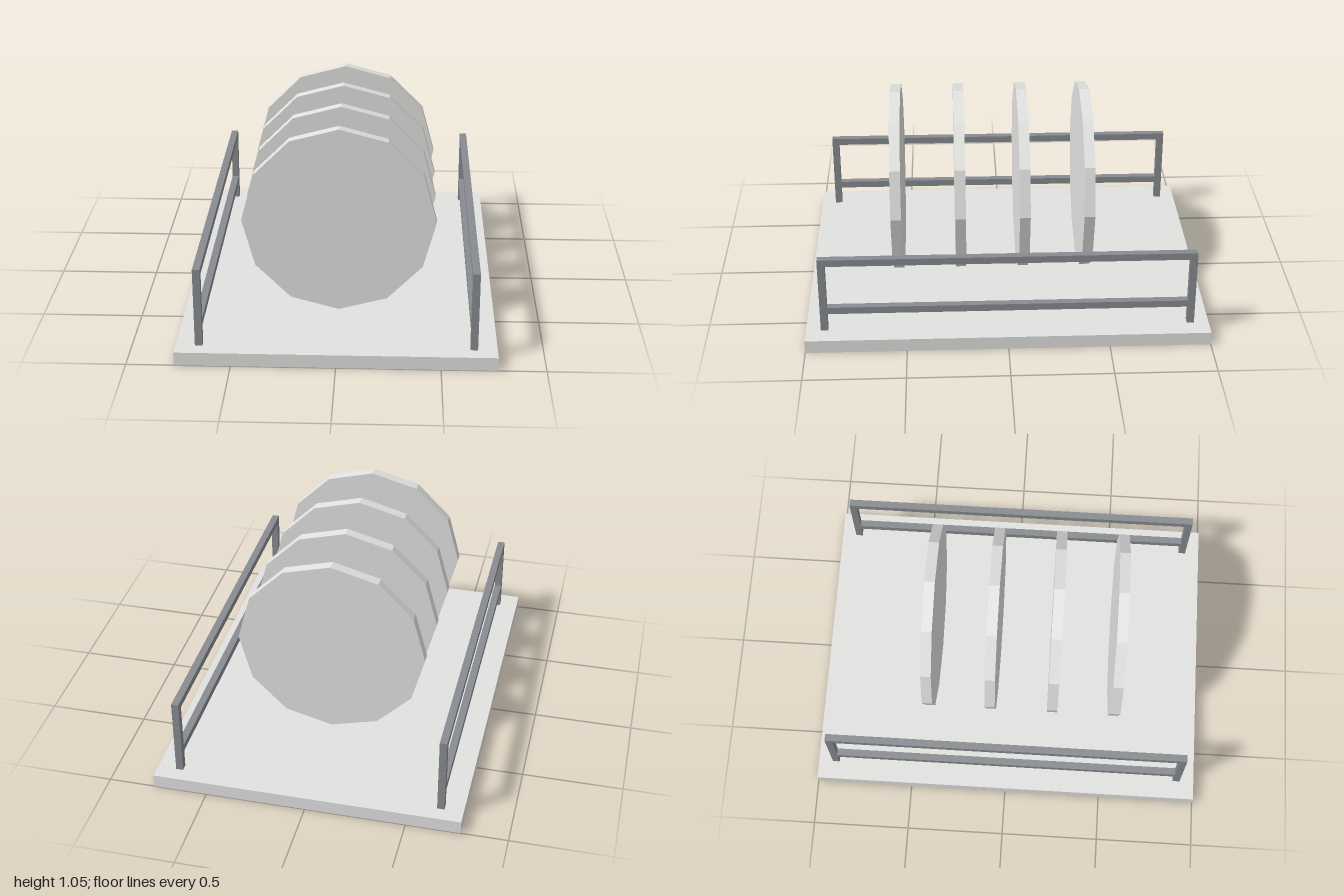
import * as THREE from 'three';

export function createModel() {
  const model = new THREE.Group();
  model.name = 'discRack';

  const paleGrey = new THREE.MeshStandardMaterial({ color: 0xe1e1e0 });
  paleGrey.name = 'paleGrey';
  const steelGrey = new THREE.MeshStandardMaterial({ color: 0x888c90 });
  steelGrey.name = 'steelGrey';

  const box = (name, parent, material, size, position) => {
    const mesh = new THREE.Mesh(new THREE.BoxGeometry(...size), material);
    mesh.name = name;
    mesh.position.set(...position);
    parent.add(mesh);
  };

  // Base slab
  const baseTop = 0.068;
  box('base', model, paleGrey, [1.54, baseTop, 2], [0, baseTop / 2, 0]);

  // Row of upright twelve-sided discs, one corner pointing up
  const discGeometry = new THREE.CylinderGeometry(0.476, 0.476, 0.053, 12).toNonIndexed();
  discGeometry.rotateX(Math.PI / 2);
  discGeometry.computeVertexNormals();
  for (let i = 0; i < 4; i++) {
    const disc = new THREE.Mesh(discGeometry, paleGrey);
    disc.name = `disc${i + 1}`;
    disc.position.set(0, 0.57, 0.545 - i * 0.319);
    model.add(disc);
  }

  // Side railings: two posts joined by a top and a lower rail
  const bar = 0.036;
  const railTop = 0.469;
  const postZ = 0.926 - bar / 2;
  const railLength = 2 * postZ - bar;
  for (const [side, sign] of [['left', 1], ['right', -1]]) {
    const railing = new THREE.Group();
    railing.name = `${side}Railing`;
    railing.position.x = sign * 0.658;
    for (const [end, z] of [['front', postZ], ['back', -postZ]]) {
      box(`${end}Post`, railing, steelGrey, [bar, railTop - baseTop, bar], [0, (railTop + baseTop) / 2, z]);
    }
    box('topRail', railing, steelGrey, [bar, bar, railLength], [0, railTop - bar / 2, 0]);
    box('lowerRail', railing, steelGrey, [bar, bar, railLength], [0, 0.181, 0]);
    model.add(railing);
  }

  return model;
}
